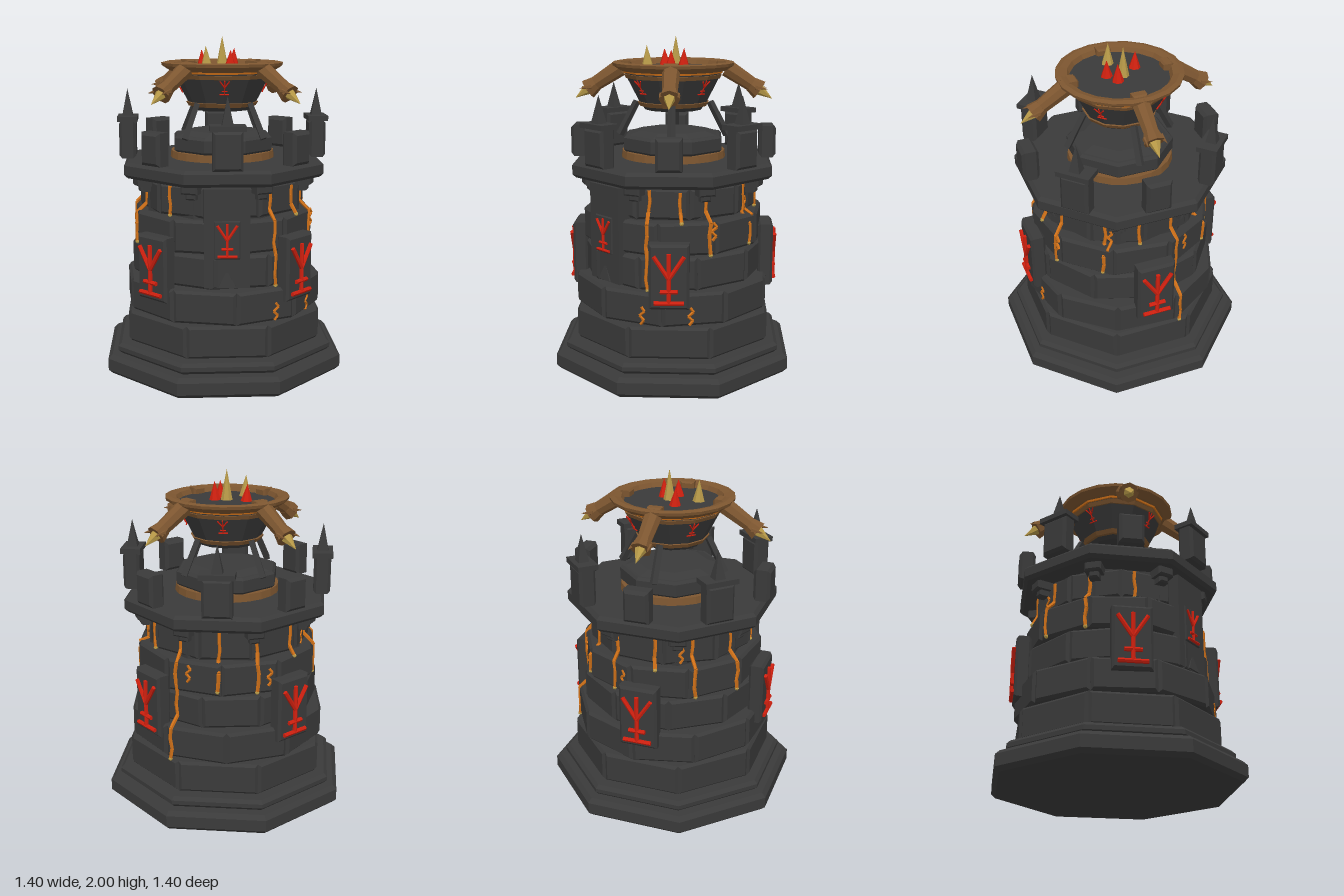
import * as THREE from 'three';

const mat = (name, color) => {
  const m = new THREE.MeshStandardMaterial({ color });
  m.name = name;
  return m;
};

export function createModel() {
  const root = new THREE.Group();
  root.name = 'tower';
  const stone = mat('dark stone', 0x3a3a3a);
  const bronze = mat('bronze', 0x7d5630);
  const red = mat('rune red', 0xd0200f);
  const gold = mat('gold', 0xb89a48);
  const orange = mat('molten orange', 0xcf7018);
  const V = (x, y, z) => new THREE.Vector3(x, y, z);

  // Faceted mesh
  function add(parent, name, geo, m, x = 0, y = 0, z = 0) {
    const g = geo.index ? geo.toNonIndexed() : geo;
    g.computeVertexNormals();
    const mesh = new THREE.Mesh(g, m);
    mesh.name = name;
    mesh.position.set(x, y, z);
    parent.add(mesh);
    return mesh;
  }
  // Group turned to face outwards at an angle measured from the front
  function facing(name, angle, r = 0, y = 0) {
    const g = new THREE.Group();
    g.name = name;
    g.rotation.y = angle;
    g.position.set(Math.sin(angle) * r, y, Math.cos(angle) * r);
    root.add(g);
    return g;
  }
  const bevelled = (pts, depth, b) => new THREE.ExtrudeGeometry(new THREE.Shape(pts), {
    depth: depth - 2 * b, bevelEnabled: true, bevelSize: b, bevelThickness: b, bevelSegments: 1,
  }).translate(0, 0, b - depth / 2);
  // Chamfered box
  function block(w, h, d, b = 0.015) {
    const x = w / 2 - b, y = h / 2 - b;
    return bevelled([[-x, -y], [x, -y], [x, y], [-x, y]].map(p => new THREE.Vector2(...p)), d, b);
  }
  // Chamfered octagonal slab with flat sides on the axes
  function octagon(name, apothem, y0, y1, b = 0.02) {
    const r = (apothem - b) / Math.cos(Math.PI / 8), pts = [];
    for (let i = 0; i < 8; i++) {
      const a = (i + 0.5) * Math.PI / 4;
      pts.push(new THREE.Vector2(Math.cos(a) * r, Math.sin(a) * r));
    }
    add(root, name, bevelled(pts, y1 - y0, b).rotateX(-Math.PI / 2), stone, 0, (y0 + y1) / 2, 0);
  }
  // Rod between two points
  function rod(parent, name, p, q, r0, r1, m, sides = 6) {
    const dir = q.clone().sub(p);
    const mesh = add(parent, name, new THREE.CylinderGeometry(r1, r0, dir.length(), sides), m);
    mesh.position.copy(p).add(q).multiplyScalar(0.5);
    mesh.quaternion.setFromUnitVectors(V(0, 1, 0), dir.normalize());
    return mesh;
  }
  const lathe = (pts, n) => new THREE.LatheGeometry(pts.map(p => new THREE.Vector2(...p)), n);
  // Forked rune, centred on its origin and facing +z
  function rune(parent, scale, z, y = 0) {
    const g = new THREE.Group();
    g.name = 'rune';
    const lines = [[0, -0.145, 0, 0.145], [0, 0, 0.085, 0.13], [0, 0, -0.085, 0.13],
      [-0.05, -0.075, 0.05, -0.075], [-0.085, -0.142, 0.085, -0.142]];
    for (const [a, b, c, d] of lines) rod(g, 'runeStroke', V(a, b, 0), V(c, d, 0), 0.013, 0.013, red);
    g.scale.setScalar(scale);
    g.position.set(0, y, z);
    parent.add(g);
    return g;
  }

  // Stepped base and parapet floor
  octagon('baseStep', 0.7, 0, 0.12, 0.025);
  octagon('upperStep', 0.64, 0.12, 0.185, 0.02);
  octagon('core', 0.45, 0.17, 1.2, 0.01);
  octagon('parapetFloor', 0.585, 1.185, 1.28, 0.02);

  // Stone courses: bottom, apothem, block count, offset in degrees
  const rows = [[0.19, 0.575, 8, 0], [0.39, 0.575, 10, 23], [0.59, 0.53, 10, 8],
    [0.79, 0.525, 10, 20], [0.99, 0.48, 10, 4]];
  rows.forEach(([y, a, n, off], k) => {
    const h = k === 4 ? 0.18 : 0.192;
    add(root, 'courseCore', new THREE.CylinderGeometry(a - 0.03, a - 0.03, h, 16), stone, 0, y + h / 2, 0);
    for (let i = 0; i < n; i++) {
      const g = facing('stoneBlock', THREE.MathUtils.degToRad(off) + i * 2 * Math.PI / n, a - 0.07, y + h / 2);
      add(g, 'block', block(2 * a * Math.tan(Math.PI / n) - 0.012, h, 0.14, 0.016), stone);
    }
  });
  // Wall radius at an angle and height
  function wall(angle, y) {
    const [, a, n, off] = rows[Math.max(0, Math.min(4, Math.floor((y - 0.185) / 0.2)))];
    const step = 2 * Math.PI / n, d = angle - THREE.MathUtils.degToRad(off);
    return a / Math.cos(d - Math.round(d / step) * step);
  }
  const onWall = (deg, y) => {
    const a = THREE.MathUtils.degToRad(deg), r = wall(a, y) - 0.001;
    return V(Math.sin(a) * r, y, Math.cos(a) * r);
  };

  // Molten drips: degrees, top, bottom
  const drips = [[31, 1.16, 0.59], [-41, 1.16, 0.99], [52, 1.15, 0.98], [70, 1.16, 0.79],
    [104, 1.16, 0.81], [127, 1.15, 0.99], [152, 1.16, 0.38], [180, 1.16, 0.82], [205, 1.15, 0.8],
    [233, 1.16, 0.97], [258, 1.16, 0.8], [288, 1.14, 0.79]];
  for (const [deg, top, low] of drips) {
    const n = Math.ceil((top - low) / 0.065);
    let p = onWall(deg, top);
    for (let i = 1; i <= n; i++) {
      const q = onWall(deg + Math.sin(i * 2.3 + deg) * 0.6, top + (low - top) * i / n);
      rod(root, 'drip', p, q, 0.012, 0.011, orange, 5);
      p = q;
    }
    add(root, 'dripEnd', new THREE.IcosahedronGeometry(0.014), gold, p.x, p.y, p.z);
  }
  // Jagged cracks: degrees, top
  for (const [deg, top] of [[29, 0.5], [72, 0.98], [107, 1.08], [57, 0.5], [160, 0.96], [212, 0.94], [250, 1.1]]) {
    let p = onWall(deg, top);
    [2, -1.2, 1.6, -0.6].forEach((d, i) => {
      const q = onWall(deg + d, top - (i + 1) * 0.026);
      rod(root, 'crack', p, q, 0.009, 0.009, orange, 5);
      p = q;
    });
  }

  // Corbels under the parapet
  for (let i = 0; i < 8; i++) {
    const g = facing('corbel', (i + 0.5) * Math.PI / 4, 0.5, 1.15);
    add(g, 'corbelTop', block(0.1, 0.06, 0.13, 0.01), stone, 0, 0.015, 0);
    add(g, 'corbelFoot', block(0.06, 0.05, 0.1, 0.01), stone, 0, -0.025, -0.01);
  }

  // Door slab with its rune and pointed foot
  const door = facing('door', 0);
  add(door, 'doorSlab', new THREE.BoxGeometry(0.26, 0.57, 0.12), stone, 0, 0.885, 0.482);
  add(door, 'doorPoint', new THREE.CylinderGeometry(0, 0.06, 0.1, 4).rotateY(Math.PI / 4).scale(1.2, 1, 0.3),
    stone, 0, 0.655, 0.54);
  add(door, 'doorPanel', block(0.15, 0.22, 0.02, 0.006), stone, 0, 0.88, 0.54);
  rune(door, 0.66, 0.554, 0.88);

  for (let i = 0; i < 4; i++) {
    const axis = i * Math.PI / 2, diag = axis + Math.PI / 4;

    // Rune plaques
    const plaque = facing('plaque', diag, 0.565, 0.69);
    add(plaque, 'plaqueSlab', block(0.23, 0.38, 0.09, 0.015), stone);
    rune(plaque, 1, 0.054, -0.005);

    // Spired pillars
    const pillar = facing('pillar', axis, 0.57);
    add(pillar, 'pillarShaft', block(0.17, 0.22, 0.1, 0.016), stone, 0, 1.39, 0);
    add(pillar, 'pillarCap', new THREE.BoxGeometry(0.2, 0.03, 0.12), stone, 0, 1.515, 0);
    add(pillar, 'pillarSpire', new THREE.ConeGeometry(0.045, 0.16, 4).rotateY(Math.PI / 4), stone, 0, 1.61, 0);

    // Plain merlons
    add(facing('merlon', diag, 0.565, 1.38), 'merlonBlock', block(0.15, 0.19, 0.1, 0.018), stone);

    // Struts holding the bowl
    const strut = facing('strut', diag);
    rod(strut, 'strutBar', V(0, 1.41, 0.325), V(0, 1.61, 0.22), 0.024, 0.022, stone, 4);

    // Clawed arms
    const arm = facing('clawArm', diag);
    rod(arm, 'armBeam', V(0, 1.81, 0.32), V(0, 1.7, 0.49), 0.052, 0.042, bronze, 8);
    rod(arm, 'armCollar', V(0, 1.715, 0.465), V(0, 1.68, 0.515), 0.045, 0.06, bronze, 8);
    rod(arm, 'armSpike', V(0, 1.685, 0.51), V(0, 1.63, 0.59), 0.036, 0.001, gold, 6);
    for (const s of [-1, 1])
      rod(arm, 'armClaw', V(s * 0.045, 1.7, 0.49), V(s * 0.055, 1.69, 0.56), 0.016, 0.001, bronze, 5);
    add(arm, 'rimClamp', block(0.085, 0.05, 0.06, 0.01), bronze, 0, 1.83, 0.285);

    // Bowl runes
    rune(facing('bowlRune', axis), 0.32, 0.262, 1.71).rotation.x = 0.5;
  }

  // Bronze ring and pedestal
  add(root, 'bronzeRing', new THREE.CylinderGeometry(0.31, 0.315, 0.045, 24), bronze, 0, 1.3, 0);
  octagon('pedestal', 0.29, 1.32, 1.42, 0.015);
  add(root, 'pedestalTop', new THREE.CylinderGeometry(0.21, 0.29, 0.025, 8).rotateY(Math.PI / 8), stone, 0, 1.43, 0);

  // Bowl with bands, filling and rim
  add(root, 'bowl', lathe([[0, 1.565], [0.17, 1.565], [0.2, 1.6], [0.285, 1.765], [0.3, 1.815], [0, 1.822]], 12), stone);
  add(root, 'lowerBand', lathe([[0.18, 1.585], [0.203, 1.588], [0.218, 1.612], [0.2, 1.615]], 12), bronze);
  add(root, 'upperBand', lathe([[0.26, 1.752], [0.287, 1.755], [0.298, 1.778], [0.27, 1.78]], 12), bronze);
  add(root, 'glowBand', lathe([[0.27, 1.785], [0.301, 1.786], [0.304, 1.797], [0.28, 1.8]], 12), orange);
  add(root, 'rim', lathe([[0.285, 1.8], [0.315, 1.798], [0.362, 1.828], [0.366, 1.845], [0.338, 1.852],
    [0.3, 1.842], [0.285, 1.815], [0.285, 1.8]], 20), bronze);

  // Crystals in the bowl: x, z, tip height, colour
  for (const [x, z, tip, m] of [[0, -0.02, 2, gold], [-0.1, 0.12, 1.945, gold], [-0.12, -0.04, 1.92, red],
    [0.07, -0.02, 1.93, red], [0.045, 0.06, 1.92, red]]) {
    const c = add(root, 'crystal', new THREE.ConeGeometry(0.038, tip - 1.81, 7), m, x, (tip + 1.81) / 2, z);
    c.rotation.z = -x * 0.5;
  }
  return root;
}
